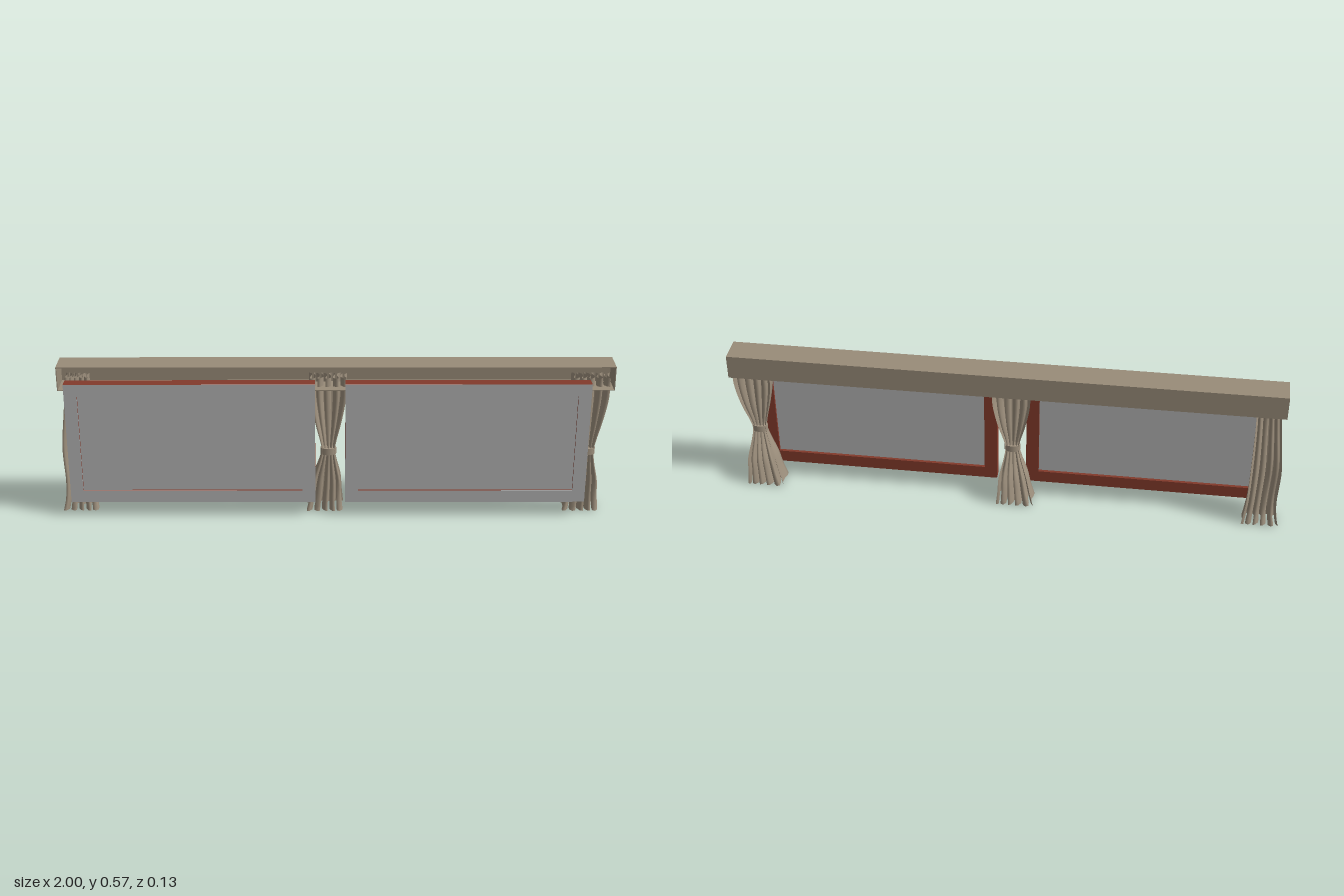
import * as THREE from 'three';

const mat = (name, color, side = THREE.FrontSide) => {
  const m = new THREE.MeshStandardMaterial({ color, side });
  m.name = name;
  return m;
};

export function createModel() {
  const group = new THREE.Group();
  const tan = mat('valance tan', 0x998c79);
  const cloth = mat('curtain cloth', 0xa19380, THREE.DoubleSide);
  const red = mat('frame red', 0x833a2b);
  const gray = mat('pane gray', 0xb2b2b2);

  const add = (parent, name, geometry, material) => {
    const mesh = new THREE.Mesh(geometry, material);
    mesh.name = name;
    parent.add(mesh);
    return mesh;
  };
  // box given by its limits
  const box = (parent, name, material, x0, x1, y0, y1, z0, z1) => {
    const mesh = add(parent, name, new THREE.BoxGeometry(x1 - x0, y1 - y0, z1 - z0), material);
    mesh.position.set((x0 + x1) / 2, (y0 + y1) / 2, (z0 + z1) / 2);
  };

  // valance: a channel open towards the front
  const valance = new THREE.Group();
  valance.name = 'valance';
  group.add(valance);
  const t = 0.003, L = -0.982, R = 0.996, B = 0.485, T = 0.574, Z0 = -0.065, Z1 = 0.035;
  box(valance, 'valanceTop', tan, L, R, T - t, T, Z0, Z1);
  box(valance, 'valanceBottom', tan, L, R, B, B + t, Z0, Z1);
  box(valance, 'valanceBack', tan, L, R, B + t, T - t, Z0, Z0 + t);
  box(valance, 'valanceLeftEnd', tan, R - t, R, B + t, T - t, Z0 + t, Z1);
  box(valance, 'valanceRightEnd', tan, L, L + t, B + t, T - t, Z0 + t, Z1);

  // rectangular ring extruded along z
  const ring = (x0, x1, y0, y1, border, depth) => {
    const s = new THREE.Shape();
    s.moveTo(x0, y0).lineTo(x1, y0).lineTo(x1, y1).lineTo(x0, y1).closePath();
    const h = new THREE.Path();
    h.moveTo(x0 + border, y0 + border).lineTo(x0 + border, y1 - border);
    h.lineTo(x1 - border, y1 - border).lineTo(x1 - border, y0 + border).closePath();
    s.holes.push(h);
    return new THREE.ExtrudeGeometry(s, { depth, bevelEnabled: false });
  };

  // windows: red frame, gray front facing and recessed pane
  for (const [name, x0, x1] of [['rightWindow', -0.955, -0.068], ['leftWindow', 0.04, 0.91]]) {
    const win = new THREE.Group();
    win.name = name;
    group.add(win);
    const y0 = 0.06, y1 = 0.521, border = 0.046;
    add(win, 'windowFrame', ring(x0, x1, y0, y1, border, 0.042), red).position.z = 0.023;
    add(win, 'frameFacing', ring(x0, x1, y0, y1, border, 0.002), gray).position.z = 0.065;
    box(win, 'windowPane', gray, x0 + border, x1 - border, y0 + border, y1 - border, 0.034, 0.058);
  }

  // pleated curtain sheet; rows are [y, centre x, half width, centre z, pleat depth]
  const curtain = (rows, folds) => {
    const a = new THREE.CatmullRomCurve3(rows.map(r => new THREE.Vector3(r[0], r[1], r[2])), false, 'catmullrom');
    const b = new THREE.CatmullRomCurve3(rows.map(r => new THREE.Vector3(r[0], r[3], r[4])), false, 'catmullrom');
    const g = new THREE.PlaneGeometry(1, 1, folds * 10, 28);
    const p = g.attributes.position, uv = g.attributes.uv;
    for (let i = 0; i < p.count; i++) {
      const u = uv.getX(i), v = 1 - uv.getY(i);
      const A = a.getPoint(v), C = b.getPoint(v);
      const phase = u * folds * Math.PI * 2;
      const sway = 0.008 * Math.sin(phase * 2) * A.z / 0.07;
      p.setXYZ(i, A.y + (2 * u - 1) * A.z + sway, A.x, C.y - C.z * Math.cos(phase + 0.5 * Math.sin(5 * u + 2 * v)));
    }
    g.computeVertexNormals();
    return g;
  };

  const tiedRows = [
    [0.521, 0, 0.068, -0.02, 0.029],
    [0.44, 0, 0.067, -0.02, 0.028],
    [0.35, 0, 0.05, -0.017, 0.024],
    [0.28, 0, 0.032, -0.01, 0.016],
    [0.235, 0, 0.024, -0.006, 0.014],
    [0.19, -0.002, 0.032, -0.011, 0.02],
    [0.12, -0.006, 0.051, -0.02, 0.034],
    [0.06, -0.01, 0.059, -0.02, 0.038],
    [0.002, -0.014, 0.069, -0.017, 0.044],
  ];
  const tie = new THREE.CylinderGeometry(1, 1, 0.025, 16);
  tie.scale(0.029, 1, 0.02);
  for (const [name, x] of [['middleCurtain', -0.021], ['leftCurtain', 0.919]]) {
    const c = new THREE.Group();
    c.name = name;
    c.position.x = x;
    group.add(c);
    add(c, 'curtainCloth', curtain(tiedRows, 5), cloth);
    add(c, 'curtainTie', tie, cloth).position.set(0, 0.235, -0.006);
  }

  // loose curtain at the other end
  const looseRows = [
    [0.521, -0.918, 0.042, -0.025, 0.025],
    [0.4, -0.926, 0.046, -0.024, 0.026],
    [0.25, -0.934, 0.054, -0.024, 0.026],
    [0.12, -0.931, 0.053, -0.024, 0.027],
    [0.05, -0.93, 0.058, -0.022, 0.03],
    [0, -0.932, 0.067, -0.02, 0.036],
  ];
  add(group, 'rightCurtain', curtain(looseRows, 5), cloth);

  return group;
}
